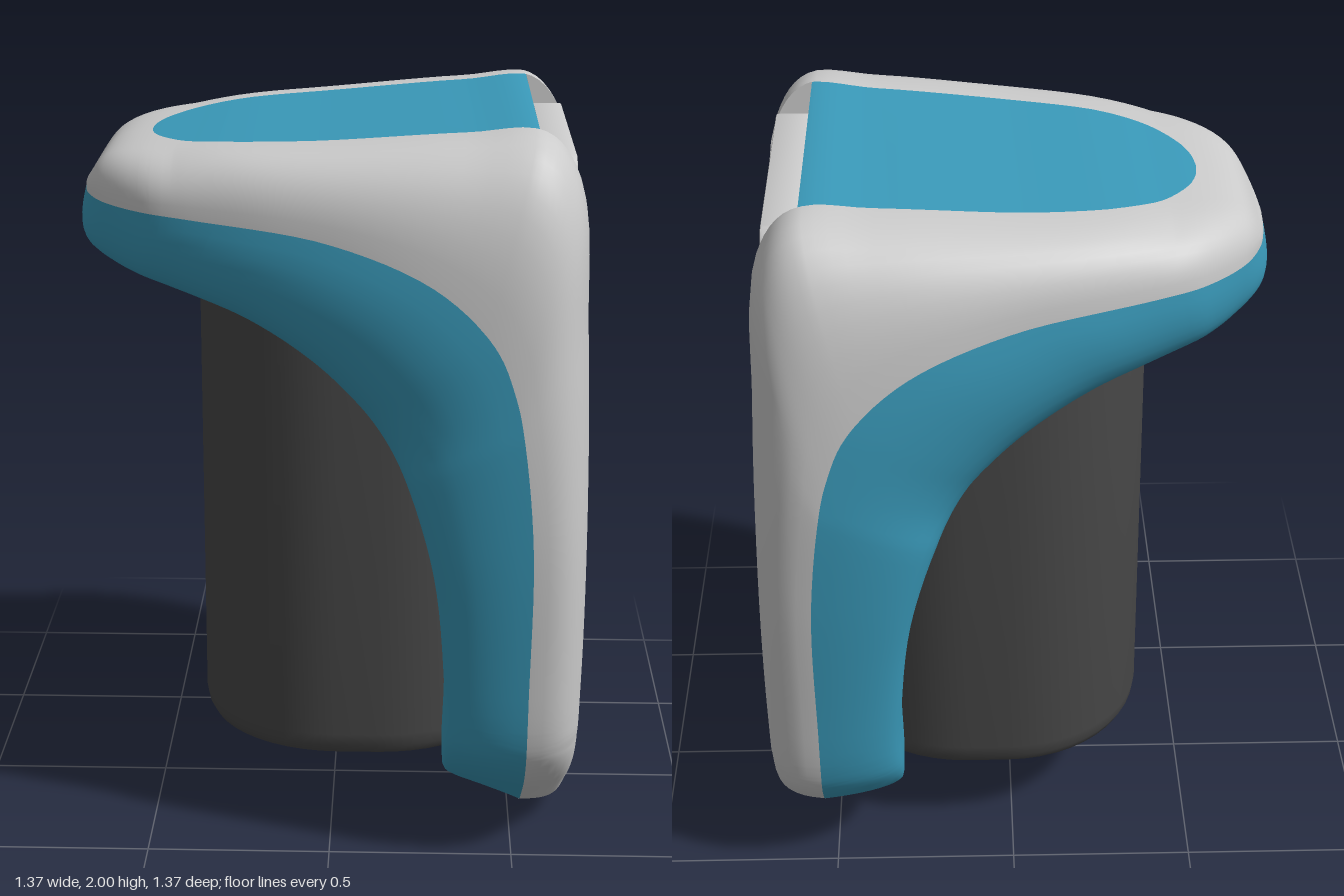
import * as THREE from 'three';
import { toCreasedNormals } from 'three/addons/utils/BufferGeometryUtils.js';

const mat = (color) => new THREE.MeshStandardMaterial({ color, side: THREE.DoubleSide });
const grey = mat(0xcccccc), blue = mat(0x3a9aba), dark = mat(0x484848), olive = mat(0x5c5a50);

// Skin a list of equally long rows of [x, y, z] points.
function loft(rows, crease = 0.7) {
  const pos = [], v = (p) => new THREE.Vector3(...p);
  const tri = (a, b, c) => {
    const n = v(b).sub(v(a)).cross(v(c).sub(v(a)));
    if (n.length() > 1e-9) pos.push(...a, ...b, ...c);
  };
  for (let i = 0; i + 1 < rows.length; i++) {
    for (let j = 0; j + 1 < rows[i].length; j++) {
      const a = rows[i][j], b = rows[i][j + 1], c = rows[i + 1][j + 1], d = rows[i + 1][j];
      tri(a, b, c);
      tri(a, c, d);
    }
  }
  const g = new THREE.BufferGeometry();
  g.setAttribute('position', new THREE.Float32BufferAttribute(pos, 3));
  return toCreasedNormals(g, crease);
}

// Smooth half-width plan, sampled finely, and its lookup.
const plan = (pts) => new THREE.SplineCurve(pts.map(([x, y]) => new THREE.Vector2(x, y)))
  .getPoints(300).map((p) => [p.x, p.y]);
function lookup(table, s) {
  if (s <= table[0][0]) return table[0][1];
  for (let i = 1; i < table.length; i++) {
    const [a, p] = table[i - 1], [b, q] = table[i];
    if (s <= b) return p + (q - p) * (s - a) / (b - a);
  }
  return table[table.length - 1][1];
}

// Side curves, from the foot up the back and over the head to the nose tip.
const curve = (pts) => new THREE.CatmullRomCurve3(pts.map(([x, y]) => new THREE.Vector3(x, y, 0)));
const outer = curve([[0.57, 0], [0.625, 0.03], [0.664, 0.16], [0.68, 0.5], [0.68, 1], [0.665, 1.5],
  [0.638, 1.87], [0.55, 1.988], [0.35, 1.982], [0, 1.955], [-0.35, 1.93], [-0.59, 1.885], [-0.668, 1.785]]);
const seam = curve([[0.53, 0], [0.53, 0.03], [0.53, 0.14], [0.53, 0.5], [0.53, 0.95], [0.5, 1.25],
  [0.475, 1.37], [0.42, 1.5], [0.27, 1.64], [0, 1.74], [-0.35, 1.775], [-0.59, 1.78], [-0.668, 1.78]]);
const inner = curve([[0.42, 0.1], [0.38, 0.12], [0.32, 0.18], [0.31, 0.5], [0.275, 0.85], [0.2, 1.1],
  [0.15, 1.19], [0.07, 1.29], [-0.05, 1.4], [-0.22, 1.5], [-0.42, 1.565], [-0.57, 1.6], [-0.64, 1.62]]);

// Half widths: head from above, back plate from behind, top inlay.
const headPlan = plan([[-0.668, 0], [-0.661, 0.12], [-0.64, 0.22], [-0.59, 0.32], [-0.5, 0.415],
  [-0.4, 0.475], [-0.2, 0.545], [0, 0.595], [0.2, 0.64], [0.4, 0.675], [0.53, 0.69]]);
const platePlan = plan([[0, 0], [0.006, 0.12], [0.022, 0.2], [0.07, 0.3], [0.12, 0.37], [0.22, 0.5],
  [0.3, 0.57], [0.4, 0.605], [0.6, 0.63], [1, 0.67], [1.4, 0.69], [2, 0.68]]);
const inlayPlan = plan([[-0.49, 0], [-0.482, 0.07], [-0.45, 0.15], [-0.38, 0.24], [-0.28, 0.3],
  [-0.18, 0.332], [0, 0.36], [0.25, 0.377], [0.45, 0.387], [0.53, 0.4]]);

const firstT = (test) => { let t = 0; while (t < 1 && !test(outer.getPoint(t))) t += 0.0005; return t; };
const tFoot = firstT((p) => p.y >= 0.33);
const tTop = firstT((p) => p.y > 1.9 && p.x <= 0.53);
const tInlay = firstT((p) => p.x <= -0.49);

const recessHalf = (y) => 0.34 + 0.06 * (y - 0.33) / 1.65 - 0.07 * Math.max(0, 1 - (y - 0.33) / 0.07) ** 2;

function station(t) {
  const O = outer.getPoint(t), S = seam.getPoint(t), I = inner.getPoint(t);
  const w = Math.min(lookup(headPlan, S.x), lookup(platePlan, S.y));
  let r = 0;
  if (t > tFoot && t <= tTop) r = recessHalf(O.y);
  else if (t > tTop && t < tInlay) r = lookup(inlayPlan, O.x);
  // Inner half width of the lower shell: thin beside the plate, deeper under the head
  const wi = w * (0.84 - 0.2 * THREE.MathUtils.smoothstep(t, 0.33, 0.58));
  return { t, O, S, I, w, r, wi };
}

// One quarter of a section: from the seam at full width to a target level and width.
function arc(from, to, w, flat, px, py, sign, bulge = 0, n = 10) {
  const row = [];
  for (let i = 0; i <= n; i++) {
    const a = i / n * Math.PI / 2;
    const c = i === n ? 0 : Math.cos(a) ** px, p = from.clone().lerp(to, Math.sin(a) ** py);
    row.push([p.x - bulge * Math.sin(2 * a), p.y, sign * (flat + (w - flat) * c)]);
  }
  return row;
}

// Flat ring of a container outline with two round ends.
function ring(r, y) {
  const row = [], n = 24;
  for (let e = 0; e < 2; e++) {
    for (let i = 0; i <= n; i++) {
      const a = Math.PI / 2 + e * Math.PI + i / n * Math.PI;
      row.push([(e ? 0.13 : 0.015) + r * Math.cos(a), y, r * Math.sin(a)]);
    }
  }
  return [...row, row[0]];
}

export function createModel() {
  const model = new THREE.Group();
  const add = (name, geometry, material) => {
    const m = new THREE.Mesh(geometry, material);
    m.name = name;
    model.add(m);
    return m;
  };

  // Stations, closer together at both ends, the recess foot and the inlay nose
  const ts = [tFoot, tTop];
  for (let i = 0; i <= 110; i++) ts.push((1 - Math.cos(Math.PI * i / 110)) / 2);
  for (let i = 0; i <= 12; i++) ts.push(tFoot + 1e-9 + 0.02 * i / 12, tInlay - 0.06 * (i / 12) ** 2);
  const stations = ts.sort((a, b) => a - b).map(station);

  // Grey outer shell, squarer at the back than over the head; blue flanks of the lower shell
  const flank = stations.filter((s) => s.S.y >= 0.055);
  for (const sign of [1, -1]) {
    add('outerShell', loft(stations.map(({ t, O, S, w, r }) => {
      const head = THREE.MathUtils.smoothstep(t, 0.3, 0.48);
      const flat = Math.min(w, Math.max(r + 0.02, (0.56 - 0.06 * head) * w));
      return [...arc(S, O, w, flat, 0.6 + 0.1 * head, 0.72 + 0.13 * head, sign), [O.x, O.y, sign * r]];
    })), grey);
    add('lowerShell', loft(flank.map(({ t, S, I, w, wi }) =>
      arc(S, I, w, wi, 0.8, 1, sign, 0.035 * Math.max(0, (t - 0.8) / 0.2) ** 2))), blue);
  }

  // Underside between the flanks, open at the foot
  const under = stations.filter((s) => s.I.y >= 0.2);
  add('underside', loft(under.map(({ I, wi }) => [[I.x, I.y, wi], [I.x, I.y, -wi]])), blue);

  // Blue inlay on top of the head
  const top = stations.filter((s) => s.t >= tTop && s.t <= tInlay);
  add('topInlay', loft(top.map(({ O, r }) => [[O.x, O.y, r], [O.x, O.y, -r]])), blue);

  // Recess in the back: side walls, floor and sill
  const recess = stations.filter((s) => s.t > tFoot && s.t <= tTop);
  add('recess', loft(recess.map(({ O, r }) =>
    [[O.x, O.y, r], [0.53, O.y, r], [0.53, O.y, -r], [O.x, O.y, -r]])), grey);
  add('recessSill', new THREE.BoxGeometry(0.145, 0.01, 0.54), grey).position.set(0.6, 0.325, 0);

  // Back panel
  const outline = [];
  for (let i = 0; i <= 12; i++) {
    const y = 0.337 + 0.07 * (i / 12) ** 2;
    outline.push([recessHalf(y) - 0.01, y]);
  }
  for (let i = 0; i <= 6; i++) {
    const a = i / 6 * Math.PI / 2;
    outline.push([0.346 + 0.04 * Math.cos(a), 1.882 + 0.04 * Math.sin(a)]);
  }
  const loop = [...outline, ...outline.map(([z, y]) => [-z, y]).reverse()];
  const panelShape = new THREE.Shape(loop.map(([z, y]) => new THREE.Vector2(z, y)));
  const panelGeometry = new THREE.ExtrudeGeometry(panelShape, {
    depth: 0.08, bevelSize: 0.006, bevelOffset: -0.006, bevelThickness: 0.006, bevelSegments: 2,
  });
  panelGeometry.rotateY(Math.PI / 2);
  // Lean the panel slightly inwards towards its top
  const p = panelGeometry.attributes.position;
  for (let i = 0; i < p.count; i++) p.setX(i, p.getX(i) + 0.557 - 0.007 * p.getY(i));
  add('backPanel', toCreasedNormals(panelGeometry, 0.5), grey);
  const mark = add('panelMark', new THREE.CylinderGeometry(0.012, 0.012, 0.01, 12), dark);
  mark.rotation.z = Math.PI / 2;
  mark.position.set(0.627, 1.888, 0);

  // Dark container, its light lip and the ceiling inside
  add('container', loft([[0.385, 1.58], [0.385, 0.3], [0.379, 0.265], [0.365, 0.24], [0.345, 0.23]]
    .map(([r, y]) => ring(r, y))), dark);
  add('containerLip', loft([[0.345, 0.23], [0.333, 0.236], [0.333, 0.4]].map(([r, y]) => ring(r, y))), grey);
  add('containerCeiling', loft([ring(0.333, 0.4), ring(0, 0.4)]), dark);

  // Rounded lever hanging inside the opening
  const lever = add('lever', new THREE.CapsuleGeometry(0.09, 0.1, 8, 20), olive);
  lever.scale.x = 0.35;
  lever.position.set(0.06, 0.375, 0);

  return model;
}
